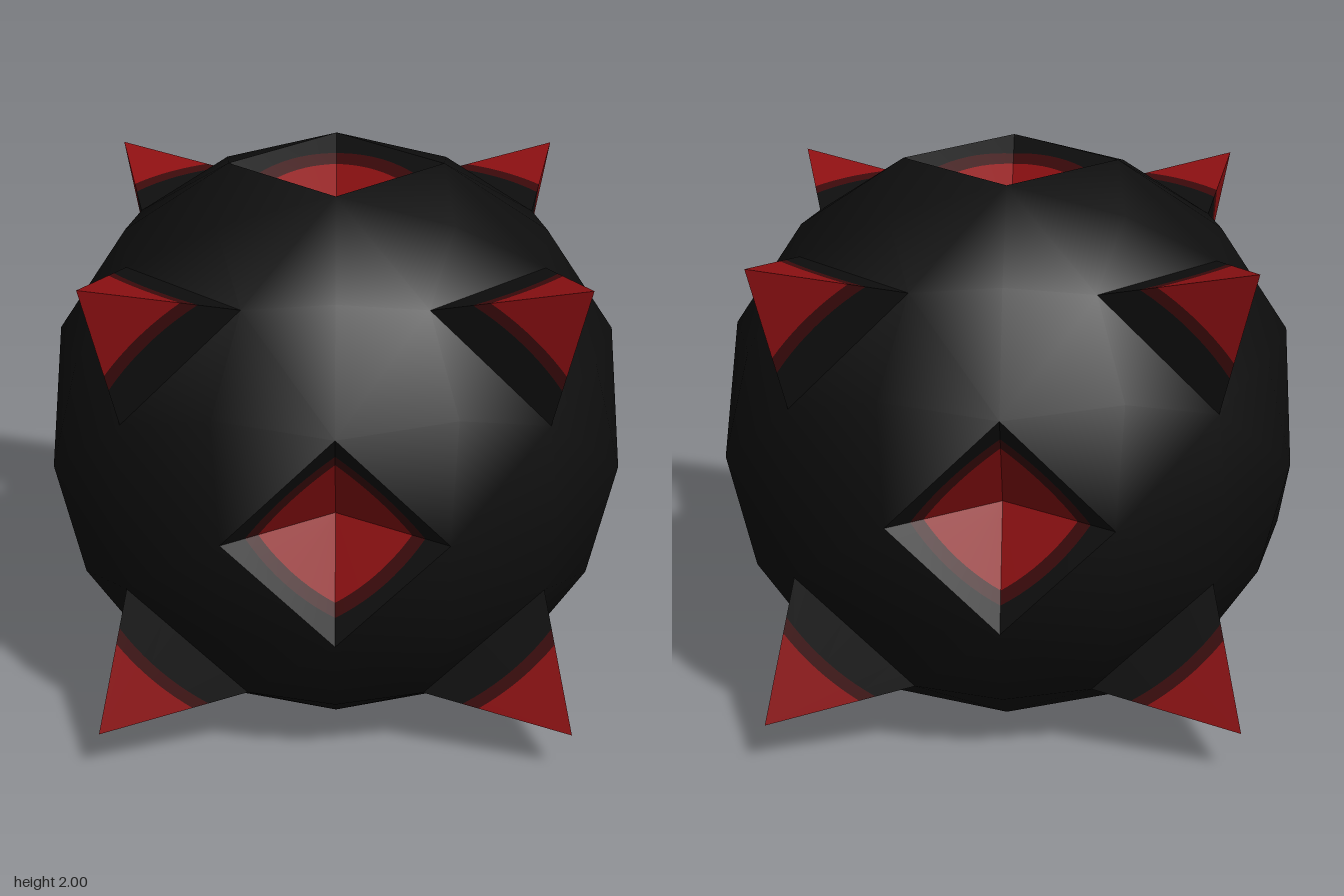
import * as THREE from 'three';

const mat = (name, color) => {
  const m = new THREE.MeshStandardMaterial({ color });
  m.name = name;
  return m;
};

export function createModel() {
  const black = mat('black', 0x0e0e0e);
  const darkRed = mat('dark red', 0x3c0a0b);
  const red = mat('red', 0x8e1012);

  // One quadrant of the +z side; all the others are turned and mirrored copies
  const A1 = [0.38, 0, 1], A2 = [0, 0.38, 1];
  const B1 = [0.753, 0, 0.753], B2 = [0, 0.753, 0.753];
  const C1 = [0.722, 0.31, 0.722], C2 = [0.31, 0.722, 0.722];
  const D = [0.405, 0.405, 0.9];
  const pitBottom = [0, 0, 0.75], spikeTip = [0.83, 0.83, 0.83];

  const parts = {
    ball: [black, []],
    pitRim: [black, []], pitBand: [darkRed, []], pitCore: [red, []],
    spikeFoot: [black, []], spikeBand: [darkRed, []], spikePoint: [red, []],
  };
  const add = (name, ...pts) => {
    for (let i = 1; i < pts.length - 1; i++) parts[name][1].push(pts[0], pts[i], pts[i + 1]);
  };
  const mix = (p, q, t) => p.map((v, i) => v + (q[i] - v) * t);

  // Point between apex and base that lies at a given distance from the centre
  const atRadius = (apex, base, r) => {
    const sign = Math.sign(Math.hypot(...apex) - r);
    let lo = 0, hi = 1;
    for (let i = 0; i < 30; i++) {
      const mid = (lo + hi) / 2;
      if ((Math.hypot(...mix(apex, base, mid)) - r) * sign > 0) lo = mid;
      else hi = mid;
    }
    return mix(apex, base, lo);
  };

  // Flat pyramid side, split into core, band and rim along curved borders
  const side = (apex, u, v, rCore, rBand, [core, band, rim]) => {
    const n = 10;
    for (let i = 0; i < n; i++) {
      const w0 = mix(u, v, i / n), w1 = mix(u, v, (i + 1) / n);
      const c0 = atRadius(apex, w0, rCore), c1 = atRadius(apex, w1, rCore);
      const d0 = atRadius(apex, w0, rBand), d1 = atRadius(apex, w1, rBand);
      add(core, apex, c0, c1);
      add(band, c0, d0, d1, c1);
      add(rim, d0, w0, w1, d1);
    }
  };

  // Faceted ball skin, pit side and spike side of the quadrant
  add('ball', A1, D, A2);
  add('ball', D, C1, C2);
  add('ball', A1, B1, C1, D);
  add('ball', A2, D, C2, B2);
  side(pitBottom, A1, A2, 0.953, 0.992, ['pitCore', 'pitBand', 'pitRim']);
  side(spikeTip, C2, C1, 1.19, 1.152, ['spikePoint', 'spikeBand', 'spikeFoot']);

  // Repeat for three axes and eight mirrorings
  const group = new THREE.Group();
  group.name = 'spikedBall';
  for (const [name, [material, pts]] of Object.entries(parts)) {
    const pos = [];
    for (let axis = 0; axis < 3; axis++) {
      for (let k = 0; k < 8; k++) {
        const s = [k & 1 ? -1 : 1, k & 2 ? -1 : 1, k & 4 ? -1 : 1];
        const flip = s[0] * s[1] * s[2] < 0;
        for (let i = 0; i < pts.length; i += 3) {
          for (const j of flip ? [0, 2, 1] : [0, 1, 2]) {
            const p = pts[i + j];
            for (let c = 0; c < 3; c++) pos.push(p[(c + axis) % 3] * s[(c + axis) % 3]);
          }
        }
      }
    }
    const geo = new THREE.BufferGeometry();
    geo.setAttribute('position', new THREE.Float32BufferAttribute(pos, 3));
    if (name === 'ball') {
      // Smooth skin: normals point away from the centre
      geo.setAttribute('normal', new THREE.Float32BufferAttribute(pos, 3));
      geo.normalizeNormals();
    } else {
      geo.computeVertexNormals();
    }
    const mesh = new THREE.Mesh(geo, material);
    mesh.name = name;
    mesh.position.y = 1;
    group.add(mesh);
  }
  return group;
}
